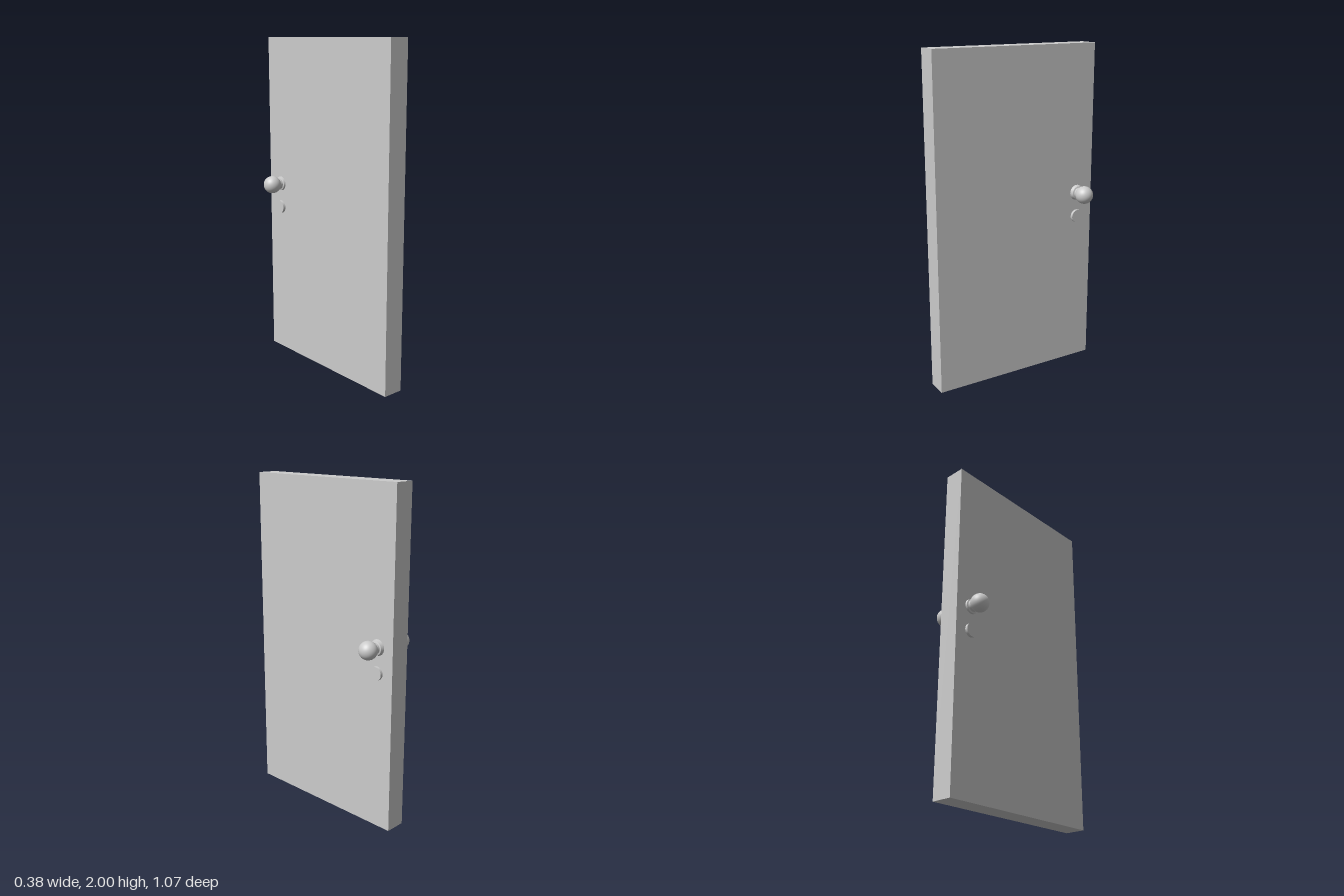
import * as THREE from 'three';

export function createModel() {
  const group = new THREE.Group();
  const material = new THREE.MeshStandardMaterial({ color: 0xcccccc });
  const add = (name, geometry, x, y, z) => {
    const mesh = new THREE.Mesh(geometry, material);
    mesh.name = name;
    mesh.position.set(x, y, z);
    group.add(mesh);
    return mesh;
  };

  // Door slab
  add('doorSlab', new THREE.BoxGeometry(0.125, 2, 1.068), -0.006, 1, 0);

  // Lathe profiles are [radius, distance from the door's middle]
  const lathe = (points) =>
    new THREE.LatheGeometry(points.map(([r, d]) => new THREE.Vector2(r, d)), 40);
  const rose = lathe([[0, 0.045], [0.048, 0.045], [0.047, 0.058], [0.0435, 0.068], [0.042, 0.078]]);
  const roseFace = lathe([[0.042, 0.078], [0.034, 0.081]]);
  const neck = lathe([[0.034, 0.076], [0.034, 0.095], [0.035, 0.105]]);
  const ball = new THREE.SphereGeometry(0.054, 40, 28);
  const lock = new THREE.CylinderGeometry(0.04, 0.04, 0.03, 40);

  // Matching knob and lock on both faces
  for (const side of [1, -1]) {
    const label = side > 0 ? 'left' : 'right';
    const turn = -side * Math.PI / 2;
    const parts = { KnobRose: rose, KnobRoseFace: roseFace, KnobNeck: neck };
    for (const [name, geometry] of Object.entries(parts)) {
      add(label + name, geometry, -0.001, 1.1, -0.425).rotation.z = turn;
    }
    add(label + 'KnobBall', ball, -0.001 + side * 0.137, 1.1, -0.425).rotation.z = turn;
    add(label + 'LockDisc', lock, -0.006 + side * 0.064, 0.95, -0.425).rotation.z = turn;
  }
  return group;
}
